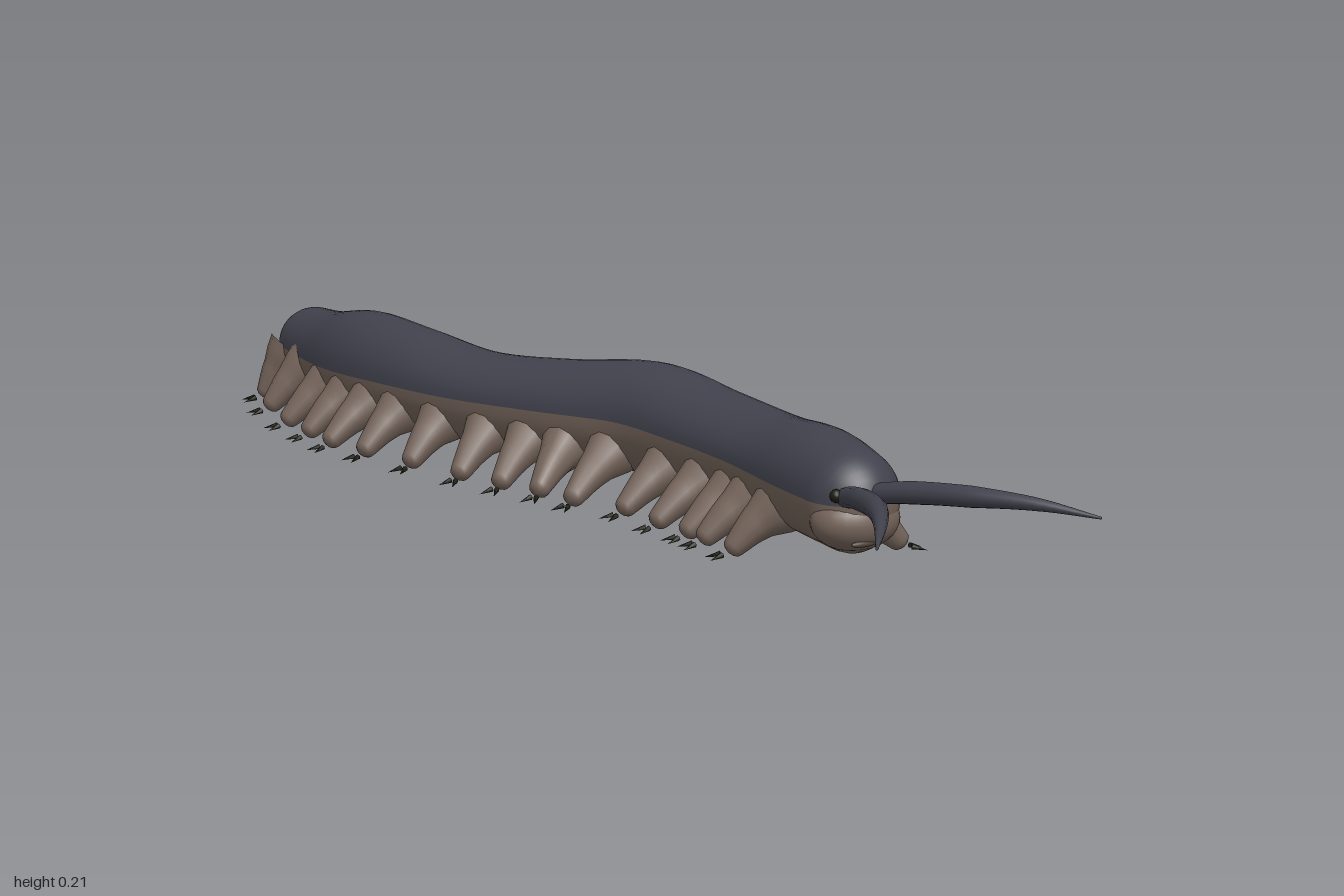
import * as THREE from 'three';

const V = (x, y, z) => new THREE.Vector3(x, y, z);
const mat = (name, color) => {
  const m = new THREE.MeshStandardMaterial({ color });
  m.name = name;
  return m;
};

// Values at evenly spaced stations, tail (z -1) to head (z 0.69)
const TAIL = -1, HEAD = 0.69;
const CENTRE = [-0.05, -0.068, -0.085, -0.08, -0.05, 0.005, 0.068, 0.085, 0.082, 0.058, 0.03];
const TOP = [0.165, 0.18, 0.208, 0.205, 0.19, 0.2, 0.217, 0.2, 0.193, 0.205, 0.187];
const WIDTH = [0.058, 0.072, 0.083, 0.083, 0.084, 0.087, 0.088, 0.087, 0.085, 0.08, 0.066];
const SPLIT = [0.107, 0.108, 0.115, 0.122, 0.125, 0.13, 0.134, 0.13, 0.127, 0.124, 0.122];

const sampler = (values) => {
  const c = new THREE.CatmullRomCurve3(values.map((v, i) => V(v, i, 0)), false, 'catmullrom');
  return (z) => c.getPoint(THREE.MathUtils.clamp((z - TAIL) / (HEAD - TAIL), 0, 1)).x;
};
const centre = sampler(CENTRE), top = sampler(TOP), width = sampler(WIDTH), split = sampler(SPLIT);
const slope = (z) => {
  const a = Math.max(TAIL, z - 0.02), b = Math.min(HEAD, z + 0.02);
  return (centre(b) - centre(a)) / (b - a);
};

// Skin a surface over rings of points
function loft(rings, closed) {
  const n = rings[0].length, index = [];
  for (let i = 0; i < rings.length - 1; i++) {
    for (let j = 0; j < (closed ? n : n - 1); j++) {
      const k = (j + 1) % n;
      const a = i * n + j, b = i * n + k, c = a + n, d = b + n;
      index.push(a, b, c, b, d, c);
    }
  }
  const g = new THREE.BufferGeometry().setFromPoints(rings.flat());
  g.setIndex(index);
  g.computeVertexNormals();
  return g;
}

// Tube along a curve with changing radius and a rounded far end
function taper(points, radii, steps = 14, sides = 12) {
  const curve = new THREE.CatmullRomCurve3(points);
  const f = curve.computeFrenetFrames(steps);
  const rings = [];
  const ring = (p, i, r) => rings.push(Array.from({ length: sides }, (_, j) => {
    const a = (j / sides) * Math.PI * 2;
    return p.clone().addScaledVector(f.normals[i], r * Math.cos(a)).addScaledVector(f.binormals[i], r * Math.sin(a));
  }));
  for (let i = 0; i <= steps; i++) {
    const s = (i / steps) * (radii.length - 1);
    const k = Math.min(Math.floor(s), radii.length - 2);
    ring(curve.getPointAt(i / steps), i, THREE.MathUtils.lerp(radii[k], radii[k + 1], s - k));
  }
  const end = points[points.length - 1], r = radii[radii.length - 1];
  for (const a of [0.5, 1, 1.57]) {
    ring(end.clone().addScaledVector(f.tangents[steps], r * 0.7 * Math.sin(a)), steps, r * Math.cos(a));
  }
  return loft(rings, true);
}

// Half of the trunk between two angles, closed to a point at both ends
function trunk(from, to) {
  const CAP = 0.065, stations = [];
  for (let i = 0; i <= 8; i++) {
    const a = (i / 8) * Math.PI / 2;
    stations.push([TAIL + CAP * (1 - Math.cos(a)), Math.sin(a)]);
  }
  for (let i = 1; i < 60; i++) stations.push([THREE.MathUtils.lerp(TAIL + CAP, HEAD - CAP, i / 60), 1]);
  for (let i = 8; i >= 0; i--) {
    const a = (i / 8) * Math.PI / 2;
    stations.push([HEAD - CAP * (1 - Math.cos(a)), Math.sin(a)]);
  }
  return loft(stations.map(([z, s]) => {
    const m = slope(z), len = Math.hypot(1, m), y = split(z);
    return Array.from({ length: 21 }, (_, j) => {
      const a = from + ((to - from) * j) / 20, sin = Math.sin(a);
      const side = width(z) * Math.cos(a) * s;
      return V(centre(z) + side / len, y + s * sin * (sin > 0 ? top(z) - y : y - 0.04), z - (side * m) / len);
    });
  }), false);
}

// Foot positions [x, z], tail to head
const RIGHT_FEET = [[-0.15, -0.965], [-0.19, -0.86], [-0.22, -0.73], [-0.23, -0.63], [-0.235, -0.54],
  [-0.22, -0.445], [-0.195, -0.33], [-0.17, -0.21], [-0.145, -0.12], [-0.12, -0.04], [-0.105, 0.04],
  [-0.07, 0.14], [-0.07, 0.24], [-0.065, 0.32], [-0.065, 0.37], [-0.065, 0.45]];
const LEFT_FEET = [[0.045, -0.89], [0.035, -0.79], [0.04, -0.71], [0.045, -0.655], [0.055, -0.57],
  [0.075, -0.47], [0.1, -0.375], [0.12, -0.3], [0.145, -0.215], [0.175, -0.12], [0.205, 0],
  [0.23, 0.105], [0.235, 0.195], [0.235, 0.29], [0.22, 0.41], [0.195, 0.535]];

export function createModel() {
  const back = mat('slate back', 0x41414d);
  const belly = mat('brown belly', 0x74645a);
  const dark = mat('black claw', 0x1c1c12);
  const lip = mat('dark mouth', 0x51453c);
  const model = new THREE.Group();
  model.name = 'velvetWorm';
  const add = (name, geometry, material, parent = model) => {
    const m = new THREE.Mesh(geometry, material);
    m.name = name;
    parent.add(m);
    return m;
  };

  // Trunk
  add('back', trunk(0, Math.PI), back);
  add('belly', trunk(Math.PI, Math.PI * 2), belly);

  // Head underside and mouth
  const snout = add('snout', new THREE.SphereGeometry(1, 28, 18), belly);
  snout.scale.set(0.07, 0.046, 0.055);
  snout.position.set(0.037, 0.093, 0.637);
  const mouth = add('mouth', new THREE.SphereGeometry(1, 16, 10), lip);
  mouth.scale.set(0.021, 0.005, 0.005);
  mouth.position.set(0.024, 0.066, 0.68);

  // Legs stand square to the spine, each with two claws
  const addLeg = (side, [x, z]) => {
    const leg = new THREE.Group();
    leg.name = side > 0 ? 'leftLeg' : 'rightLeg';
    model.add(leg);
    let rootZ = z;
    for (let i = 0; i < 4; i++) {
      rootZ = THREE.MathUtils.clamp(z + slope(rootZ) * (x - centre(rootZ)), -0.95, 0.6);
    }
    const foot = V(x - side * 0.012, 0.024, z);
    const root = V(centre(rootZ) + side * 0.035, 0.092, rootZ);
    const mid = root.clone().lerp(foot, 0.6).add(V(0, 0.006, 0));
    add('limb', taper([root, mid, foot], [0.05, 0.042, 0.03, 0.023, 0.017], 12), belly, leg);

    const out = V(foot.x - root.x, 0, foot.z - root.z).normalize();
    const across = V(-out.z, 0, out.x);
    for (const k of [-1, 1]) {
      const dir = out.clone().addScaledVector(across, k * 0.4).add(V(0, -0.25, 0)).normalize();
      const claw = add('claw', new THREE.ConeGeometry(0.0045, 0.024, 6), dark, leg);
      claw.position.copy(foot).addScaledVector(out, 0.03).addScaledVector(across, k * 0.009);
      claw.position.y = 0.011;
      claw.quaternion.setFromUnitVectors(V(0, 1, 0), dir);
    }
  };
  RIGHT_FEET.forEach((f) => addLeg(-1, f));
  LEFT_FEET.forEach((f) => addLeg(1, f));

  // Antennae and eyes
  for (const side of [-1, 1]) {
    const path = [[0.016, 0.132, 0.655], [0.04, 0.147, 0.73], [0.08, 0.157, 0.835], [0.133, 0.157, 0.925], [0.187, 0.146, 0.998]]
      .map(([x, y, z]) => V(0.022 + side * x, y, z));
    add(side > 0 ? 'leftAntenna' : 'rightAntenna',
      taper(path, [0.015, 0.017, 0.016, 0.01, 0.002], 24), back);
    const eye = add(side > 0 ? 'leftEye' : 'rightEye', new THREE.SphereGeometry(0.01, 12, 8), dark);
    eye.position.set(0.028 + side * 0.042, 0.138, 0.665);
  }
  return model;
}
